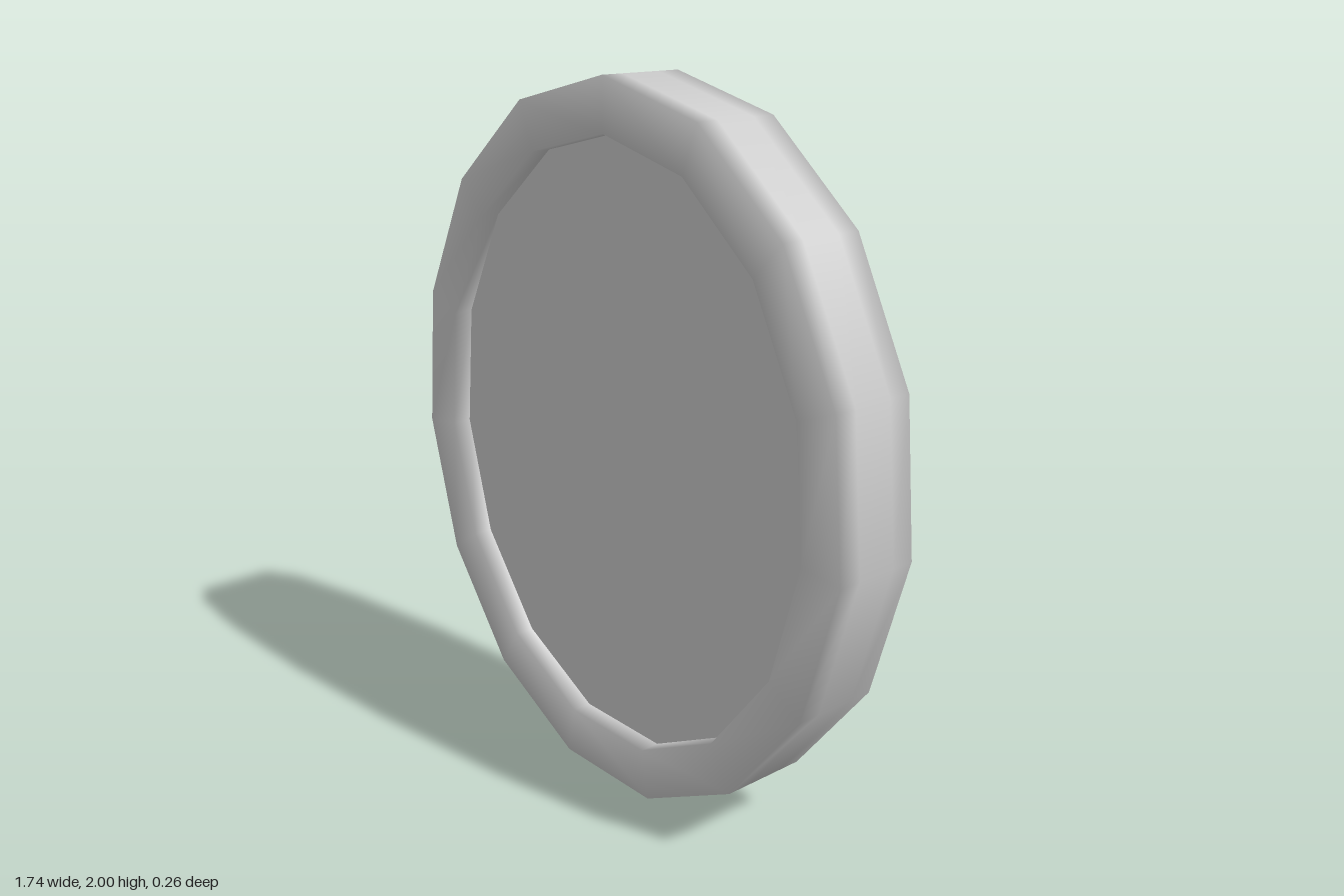
import * as THREE from 'three';

const SIDES = 15;
const RX = 0.875, RY = 1.011;      // outer half-axes of the oval
const CENTRE_Y = 0.989;
const INNER = 0.855;               // opening size relative to the outer oval
const HALF = 0.128;                // half thickness of the rim
const PANEL_HALF = 0.07;           // half thickness of the recessed panel

// Turn a round part to face the front and stretch it to the oval
function toOval(geometry) {
  geometry.rotateX(-Math.PI / 2);
  geometry.scale(RX, RY, 1);
  geometry.translate(0, CENTRE_Y, 0);
  return geometry;
}

export function createModel() {
  const group = new THREE.Group();
  group.name = 'ovalFrame';
  const material = new THREE.MeshStandardMaterial({ color: 0xcccccc });

  // Rim: square section with smooth normals, seam hidden behind the panel
  const profile = [
    [INNER, 0], [INNER, -PANEL_HALF], [INNER, -HALF],
    [1, -HALF], [1, -0.06], [1, 0.06], [1, HALF],
    [INNER, HALF], [INNER, PANEL_HALF], [INNER, 0],
  ].map(([r, z]) => new THREE.Vector2(r, z));
  const rim = new THREE.Mesh(toOval(new THREE.LatheGeometry(profile, SIDES)), material);
  rim.name = 'rim';

  // Flat panel, recessed on the front and back
  const panel = new THREE.Mesh(
    toOval(new THREE.CylinderGeometry(INNER, INNER, PANEL_HALF * 2, SIDES)), material);
  panel.name = 'panel';

  group.add(rim, panel);
  return group;
}
